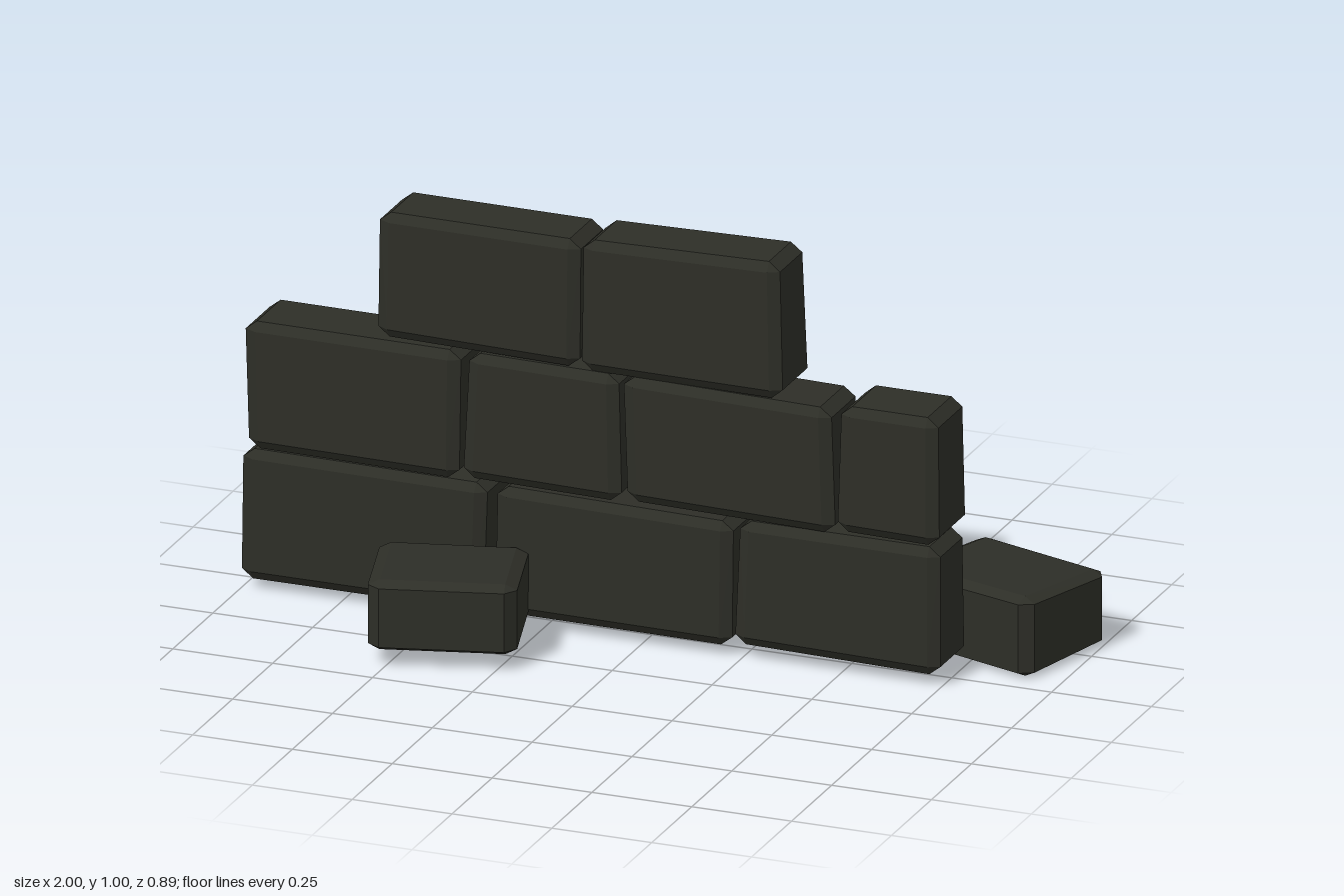
import * as THREE from 'three';
import { ConvexGeometry } from 'three/addons/geometries/ConvexGeometry.js';

const stone = new THREE.MeshStandardMaterial({ color: 0x2d2e27, flatShading: true });

// Chamfered six-sided block between two quads (corners in order BL, BR, TR, TL)
function chamferedBlock(near, far, bevel) {
  const at = (u, v, w) => {
    const side = q => q[0].clone().lerp(q[1], u).lerp(q[3].clone().lerp(q[2], u), v);
    return side(near).lerp(side(far), w);
  };
  const inset = [near[1], near[3], far[0]].map((p, i) => bevel[i] / p.distanceTo(near[0]));
  const points = [];
  for (let corner = 0; corner < 8; corner++) {
    for (let face = 0; face < 3; face++) {
      const t = [0, 1, 2].map(axis => {
        const end = (corner >> axis) & 1;
        return axis === face ? end : end ? 1 - inset[axis] : inset[axis];
      });
      points.push(at(...t));
    }
  }
  return new ConvexGeometry(points);
}

function addBlock(group, name, near, far, bevel) {
  const mesh = new THREE.Mesh(chamferedBlock(near, far, bevel), stone);
  mesh.name = name;
  group.add(mesh);
}

export function createModel() {
  const model = new THREE.Group();
  model.name = 'brokenWall';

  // Courses: front outlines of each brick, with front and back z at bottom and top
  const courses = [
    { name: 'bottomCourse', front: [0.085, 0.081], back: [-0.094, -0.085], bricks: [
      [[-1, 0.027], [-0.395, 0.027], [-0.385, 0.345], [-0.997, 0.35]],
      [[-0.365, 0.033], [0.228, 0.03], [0.23, 0.337], [-0.36, 0.347]],
      [[0.235, 0.04], [0.75, 0.03], [0.748, 0.347], [0.248, 0.347]] ] },
    { name: 'middleCourse', front: [0.093, 0.086], back: [-0.1, -0.092], bricks: [
      [[-0.978, 0.357], [-0.452, 0.352], [-0.45, 0.668], [-0.99, 0.67]],
      [[-0.442, 0.36], [-0.045, 0.353], [-0.055, 0.665], [-0.428, 0.67]],
      [[-0.03, 0.36], [0.49, 0.35], [0.477, 0.657], [-0.043, 0.667]],
      [[0.495, 0.36], [0.75, 0.355], [0.745, 0.67], [0.503, 0.67]] ] },
    { name: 'topCourse', front: [0.088, 0.08], back: [-0.1, -0.086], bricks: [
      [[-0.657, 0.68], [-0.152, 0.67], [-0.152, 0.985], [-0.655, 0.987]],
      [[-0.147, 0.667], [0.356, 0.663], [0.346, 1], [-0.145, 0.99]] ] },
  ];
  for (const { name, front, back, bricks } of courses) {
    const course = new THREE.Group();
    course.name = name;
    bricks.forEach((outline, i) => {
      const quad = z => outline.map(([x, y], k) => new THREE.Vector3(x, y, z[k < 2 ? 0 : 1]));
      addBlock(course, `brick${i + 1}`, quad(front), quad(back), [0.028, 0.022, 0.016]);
    });
    model.add(course);
  }

  // Fallen bricks: ground outlines as [x, z, bottom y, top y]
  const fallen = {
    fallenFrontBrick: [[-0.535, 0.45, 0.04, 0.214], [-0.2, 0.352, 0.038, 0.212],
      [-0.285, 0.055, 0.034, 0.205], [-0.62, 0.15, 0.036, 0.208]],
    fallenBackBrick: [[0.55, -0.158, 0.003, 0.197], [0.922, -0.042, 0, 0.2],
      [1.01, -0.336, 0.008, 0.19], [0.648, -0.458, 0.011, 0.187]],
  };
  for (const [name, outline] of Object.entries(fallen)) {
    const quad = k => outline.map(p => new THREE.Vector3(p[0], p[k], p[1]));
    addBlock(model, name, quad(2), quad(3), [0.028, 0.028, 0.014]);
  }
  return model;
}
